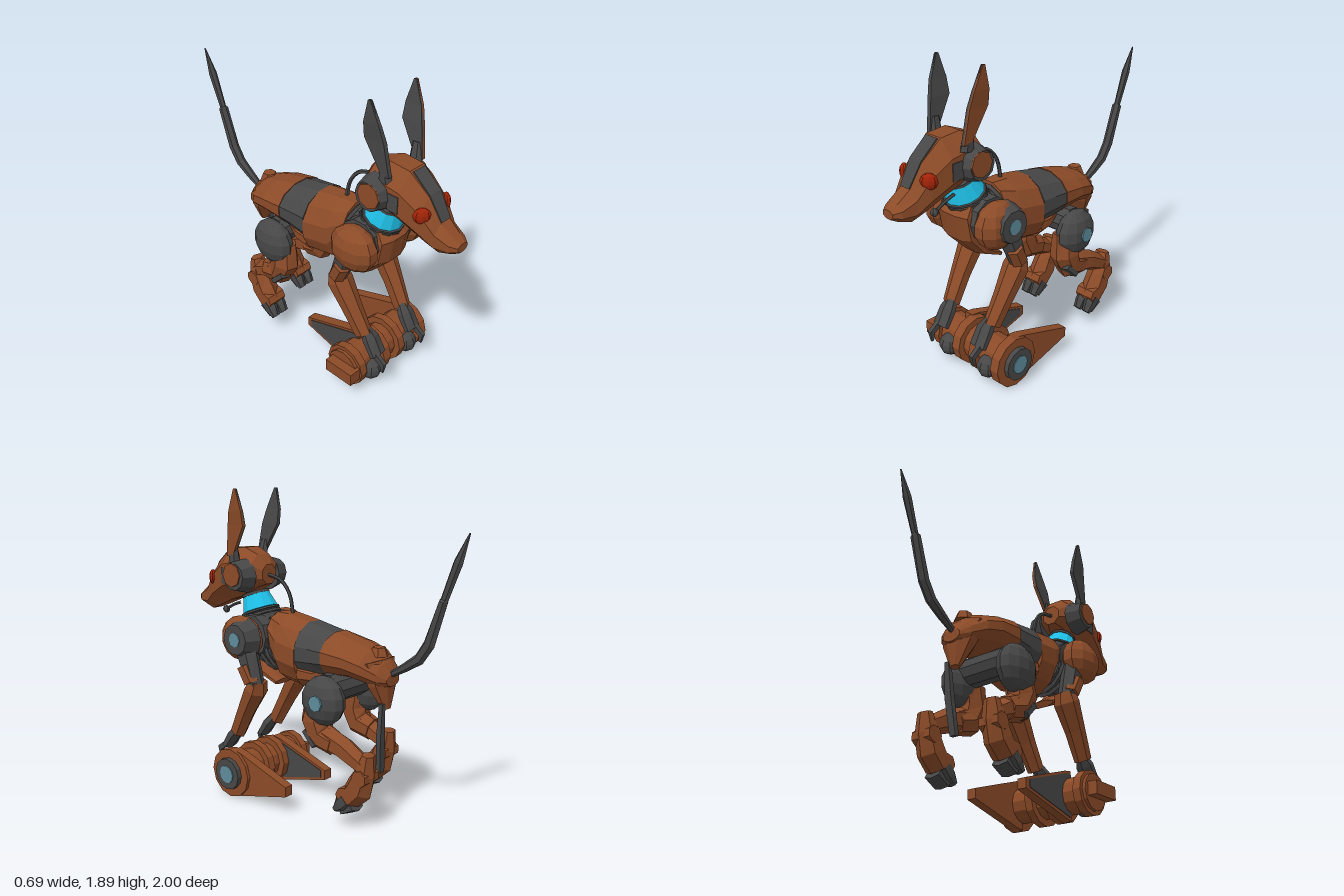
import * as THREE from 'three';

const mat = (name, color) => {
  const m = new THREE.MeshStandardMaterial({ color });
  m.name = name;
  return m;
};

export function createModel() {
  const brown = mat('rust brown', 0x8c4b28), grey = mat('dark grey', 0x474747);
  const cyan = mat('bright cyan', 0x20c4ec), pale = mat('pale blue', 0x5d8b9a), red = mat('eye red', 0xa32408);
  const root = new THREE.Group();
  const CX = -0.03; // centre line of the body

  // faceted mesh
  function add(name, geo, material) {
    const g = geo.index ? geo.toNonIndexed() : geo;
    g.computeVertexNormals();
    const m = new THREE.Mesh(g, material);
    m.name = name;
    root.add(m);
    return m;
  }

  // loft of n-sided sections [x, y, z, half width, half depth]; dir fixes the section normal
  function loft(name, material, secs, n = 8, dir = null) {
    const pos = [], idx = [], k = 1 / Math.cos(Math.PI / n), X = new THREE.Vector3(1, 0, 0);
    secs.forEach((s, i) => {
      const a = secs[Math.max(0, i - 1)], b = secs[Math.min(secs.length - 1, i + 1)];
      const T = dir ? new THREE.Vector3(...dir) : new THREE.Vector3(0, b[1] - a[1], b[2] - a[2]).normalize();
      const B = T.cross(X);
      for (let j = 0; j < n; j++) {
        const t = ((j + 0.5) / n) * Math.PI * 2, c = Math.cos(t) * k * s[3], d = Math.sin(t) * k * s[4];
        pos.push(s[0] + c, s[1] + B.y * d, s[2] + B.z * d);
      }
    });
    const L = secs.length - 1, c0 = pos.length / 3;
    pos.push(...secs[0].slice(0, 3), ...secs[L].slice(0, 3));
    for (let j = 0; j < n; j++) {
      const q = (j + 1) % n;
      for (let i = 0; i < L; i++) {
        const a = i * n + j, b = i * n + q;
        idx.push(a, b, b + n, a, b + n, a + n);
      }
      idx.push(c0, q, j, c0 + 1, L * n + j, L * n + q);
    }
    const g = new THREE.BufferGeometry();
    g.setAttribute('position', new THREE.Float32BufferAttribute(pos, 3));
    g.setIndex(idx);
    return add(name, g, material);
  }
  // cylinder along x from x0 (radius r) to x1 (radius r1)
  function axle(name, material, x0, x1, y, z, r, n = 10, r1 = r) {
    const g = new THREE.CylinderGeometry(x1 > x0 ? r1 : r, x1 > x0 ? r : r1, Math.abs(x1 - x0), n);
    g.rotateZ(-Math.PI / 2).translate((x0 + x1) / 2, y, z);
    return add(name, g, material);
  }
  function ball(name, material, x, y, z, rx, ry, rz, n = 10, turn = 0) {
    return add(name, new THREE.SphereGeometry(1, n, 7).scale(rx, ry, rz).rotateY(turn).translate(x, y, z), material);
  }
  function cable(name, pts, r) {
    const c = new THREE.CatmullRomCurve3(pts.map(p => new THREE.Vector3(...p)));
    return add(name, new THREE.TubeGeometry(c, 10, r, 5), grey);
  }

  // torso: section rows are z, top, bottom, half width
  const body = (name, material, rows) => loft(name, material,
    rows.map(([z, t, b, w]) => [CX, (t + b) / 2, z, w, (t - b) / 2]), 12, [0, 0, -1]);
  body('frontTorso', brown, [[0.3, 1.15, 0.9, 0.13], [0.2, 1.15, 0.74, 0.17], [0.03, 1.12, 0.72, 0.185]]);
  body('waistBand', grey, [[0.03, 1.12, 0.78, 0.183], [-0.07, 1.1, 0.8, 0.182], [-0.17, 1.08, 0.82, 0.182]]);
  body('belly', brown, [[0.03, 0.92, 0.72, 0.16], [-0.07, 0.9, 0.74, 0.15], [-0.15, 0.9, 0.79, 0.12]]);
  body('rump', brown, [[-0.17, 1.085, 0.82, 0.187], [-0.32, 1.05, 0.84, 0.182], [-0.43, 1.015, 0.82, 0.16],
    [-0.51, 0.95, 0.8, 0.11], [-0.55, 0.89, 0.82, 0.06]]);
  loft('rumpFlap', brown, [[CX, 0.95, -0.44, 0.13, 0.06], [CX, 0.82, -0.48, 0.1, 0.065], [CX, 0.68, -0.51, 0.03, 0.02]]);
  add('rumpBolt', new THREE.CylinderGeometry(0.04, 0.06, 0.05, 6).translate(CX, 1.005, -0.45), brown);
  body('chestCore', grey, [[0.54, 1.08, 0.88, 0.08], [0.48, 1.12, 0.82, 0.12], [0.35, 1.11, 0.8, 0.11], [0.2, 1.08, 0.8, 0.11]]);
  for (const z of [0.27, 0.32, 0.37])
    add('rib', new THREE.TorusGeometry(0.135, 0.014, 4, 14).scale(1, 1.3, 1).rotateX(0.25).translate(CX, 0.96, z), grey);
  loft('chestPlate', brown, [[CX, 1.12, 0.5, 0.1, 0.03], [CX, 1.04, 0.555, 0.12, 0.045], [CX, 0.91, 0.535, 0.12, 0.04],
    [CX, 0.79, 0.43, 0.11, 0.03], [CX, 0.71, 0.28, 0.08, 0.02]]);

  // neck stack, leaning forward: position along the axis, bottom and top radius, height
  [['collar', grey, 0.025, 0.13, 0.13, 0.035], ['neckRing', grey, 0.055, 0.125, 0.125, 0.016],
    ['neckRing', grey, 0.078, 0.125, 0.125, 0.012], ['neckCore', cyan, 0.135, 0.115, 0.085, 0.095],
    ['neckRing', grey, 0.19, 0.09, 0.09, 0.018]].forEach(([name, m, t, r0, r1, h]) =>
    add(name, new THREE.CylinderGeometry(r1, r0, h, 12).rotateX(0.37).translate(CX, 1.06 + 0.93 * t, 0.45 + 0.36 * t), m));

  // head
  loft('head', brown, [[CX, 1.37, 0.4, 0.06, 0.06], [CX, 1.39, 0.45, 0.115, 0.1], [CX, 1.38, 0.55, 0.14, 0.15],
    [CX, 1.355, 0.68, 0.14, 0.165], [CX, 1.28, 0.8, 0.115, 0.14], [CX, 1.2, 0.88, 0.088, 0.09],
    [CX, 1.182, 0.96, 0.07, 0.048], [CX, 1.18, 1, 0.04, 0.025]], 8, [0, 0, 1]);
  loft('foreheadStripe', grey, [[CX, 1.515, 0.69, 0.045, 0.007], [CX, 1.42, 0.8, 0.045, 0.007],
    [CX, 1.29, 0.88, 0.036, 0.007]], 4);
  cable('neckCable', [[CX, 1.37, 0.42], [CX, 1.34, 0.3], [CX, 1.26, 0.23], [CX, 1.12, 0.2]], 0.012);
  cable('chinStalk', [[0.02, 1.18, 0.6], [0.02, 1.16, 0.66], [0.02, 1.12, 0.74]], 0.01);
  ball('chinBulb', grey, 0.02, 1.12, 0.74, 0.024, 0.024, 0.024, 6);

  // tail and hanging blade
  loft('tail', grey, [[CX, 0.88, -0.53, 0.015, 0.015], [CX, 0.94, -0.63, 0.022, 0.022], [CX, 1, -0.72, 0.025, 0.028],
    [CX, 1.09, -0.78, 0.025, 0.03], [CX, 1.33, -0.86, 0.026, 0.022], [CX, 1.34, -0.865, 0.015, 0.02],
    [CX, 1.54, -0.94, 0.02, 0.024], [CX, 1.69, -1, 0.003, 0.004]], 6);
  loft('hangingBlade', grey, [[0.02, 0.72, -0.515, 0.014, 0.012], [0.01, 0.5, -0.5, 0.022, 0.016], [-0.015, 0.3, -0.485, 0.02, 0.014]], 4);

  // paired parts
  axle('hipAxle', grey, -0.2, 0.16, 0.78, -0.22, 0.09);
  for (const s of [1, -1]) {
    const X = x => CX + 0.01 + s * x, W = x => s * x;
    ball('eye', red, CX + s * 0.1, 1.33, 0.805, 0.048, 0.047, 0.026, 8, s * 0.75);
    axle('earHub', grey, CX + s * 0.1, CX + s * 0.195, 1.36, 0.52, 0.11, 10, 0.085);
    axle('earHubCap', brown, CX + s * 0.195, CX + s * 0.203, 1.37, 0.53, 0.074, 8);
    add('cheekPatch', new THREE.BoxGeometry(0.009, 0.1, 0.07).translate(CX + s * 0.14, 1.35, 0.645), grey);
    const ear = (name, m, o) => loft(name, m, [[X(0.13 + o), 1.48, 0.585, 0.008, 0.025], [X(0.145 + o), 1.67, 0.515, 0.008, 0.065],
      [X(0.16 + o), 1.76, 0.505, 0.006, 0.052], [X(0.172 + o), 1.89, 0.495, 0.003, 0.008]], 4, [0, 1, 0]);
    ear('earInner', grey, 0);
    ear('earOuter', s > 0 ? brown : grey, 0.01);
    loft('earRoot', grey, [[X(0.12), 1.44, 0.57, 0.03, 0.04], [X(0.135), 1.57, 0.56, 0.012, 0.025]], 6);

    // front leg
    ball('shoulder', brown, X(0.2), 0.995, 0.435, 0.1, 0.14, 0.155);
    axle('shoulderSocket', grey, X(0.05), X(0.145), 1, 0.42, 0.135);
    if (s > 0) {
      axle('shoulderDisc', grey, X(0.2), X(0.298), 1, 0.4, 0.13, 10, 0.095);
      axle('shoulderLight', pale, X(0.296), X(0.302), 1, 0.4, 0.045, 8);
      axle('hipLight', pale, X(0.28), X(0.292), 0.72, -0.23, 0.047, 8);
    }
    loft('upperArm', grey, [[W(0.2), 0.92, 0.37, 0.055, 0.065], [W(0.2), 0.72, 0.3, 0.05, 0.045]], 6);
    loft('armGuard', brown, [[W(0.23), 0.84, 0.36, 0.045, 0.045], [W(0.22), 0.74, 0.31, 0.045, 0.045]], 6);
    loft('forearm', brown, [[W(0.19), 0.75, 0.29, 0.055, 0.04], [W(0.19), 0.69, 0.31, 0.07, 0.06],
      [W(0.185), 0.54, 0.4, 0.055, 0.05], [W(0.175), 0.38, 0.49, 0.045, 0.045]], 6);
    loft('frontPaw', grey, [[W(0.165), 0.42, 0.48, 0.025, 0.025], [W(0.16), 0.36, 0.53, 0.05, 0.033], [W(0.16), 0.27, 0.59, 0.053, 0.025]], 6);
    loft('claw', grey, [[W(0.18), 0.28, 0.59, 0.014, 0.02], [W(0.18), 0.24, 0.65, 0.013, 0.018], [W(0.18), 0.18, 0.645, 0.006, 0.008]], 4);

    // hind leg; the two shins are posed apart
    ball('hip', grey, X(0.2), 0.72, -0.22, 0.09, 0.147, 0.147, 12);
    const f = s > 0 ? 0 : 0.12, v = s > 0 ? 0 : 0.03;
    const H = (x, y, z, w, d) => [X(x), y + v, z + f, w, d];
    loft('thigh', brown, [[X(0.17), 0.72, -0.17, 0.06, 0.09], [X(0.18), 0.59, -0.15, 0.075, 0.09],
      [X(0.18), 0.5, -0.19, 0.07, 0.08], [X(0.18), 0.47, -0.29, 0.06, 0.065]], 7);
    loft('shin', brown, [[X(0.18), 0.5, -0.22, 0.055, 0.07], H(0.18, 0.46, -0.36, 0.055, 0.06), H(0.18, 0.39, -0.5, 0.05, 0.045)], 6);
    loft('kneeGuard', grey, [[X(0.2), 0.53, -0.11, 0.05, 0.025], [X(0.2), 0.45, -0.19, 0.055, 0.025]], 6);
    axle('hock', brown, X(0.115), X(0.245), 0.33 + v, -0.51 + f, 0.05, 7);
    loft('hindFoot', brown, [H(0.18, 0.46, -0.53, 0.04, 0.03), H(0.18, 0.35, -0.51, 0.06, 0.055),
      H(0.18, 0.25, -0.47, 0.065, 0.075), H(0.18, 0.18, -0.41, 0.065, 0.06)], 6);
    axle('toeJoint', brown, X(0.115), X(0.245), 0.2 + v, -0.4 + f, 0.052, 7);
    for (const d of [0.145, 0.215])
      loft('toe', grey, [H(d, 0.18, -0.41, 0.032, 0.045), H(d, 0.14, -0.37, 0.032, 0.045), H(d, 0.1, -0.33, 0.025, 0.02)], 6);
    loft('heelPad', grey, [H(0.18, 0.14, -0.45, 0.05, 0.03), H(0.18, 0.09, -0.37, 0.05, 0.02)], 6);
  }

  // drum under the front paws
  const BY = 0.155, BZ = 0.43;
  [[-0.29, 0.3, 0.11, brown], [-0.27, -0.22, 0.135, brown], [-0.08, -0.02, 0.15, brown], [0.06, 0.11, 0.15, brown],
    [0.25, 0.31, 0.155, brown], [0.31, 0.34, 0.1, grey], [0.34, 0.345, 0.056, pale]].forEach(([a, b, r, m]) =>
    axle('drumSegment', m, a, b, BY, BZ, r, 12));
  add('drumHandle', new THREE.BoxGeometry(0.08, 0.08, 0.2).translate(-0.31, 0.16, 0.45), brown);
  for (const x of [-0.15, 0.18]) ball('drumKnob', grey, x, 0.12, 0.53, 0.07, 0.07, 0.07, 8);

  // wedge fins trailing from the drum, outline in z and y
  const fin = (name, m, x, w, pts) => {
    const shape = new THREE.Shape(pts.map(([z, y]) => new THREE.Vector2(-z, y)));
    add(name, new THREE.ExtrudeGeometry(shape, { depth: w, bevelEnabled: false }).rotateY(Math.PI / 2).translate(x, 0, 0), m);
  };
  const outline = [[0.42, 0.305], [0.36, 0.295], [-0.02, 0.17], [-0.02, 0.11], [0.38, 0.01], [0.42, 0.005]];
  fin('rightFin', brown, -0.13, 0.06, outline);
  fin('rightFinPanel', grey, -0.134, 0.068, [[0.41, 0.285], [0.35, 0.275], [0.01, 0.165], [0.01, 0.12], [0.4, 0.025]]);
  fin('leftFin', brown, 0.23, 0.06, outline);
  return root;
}
